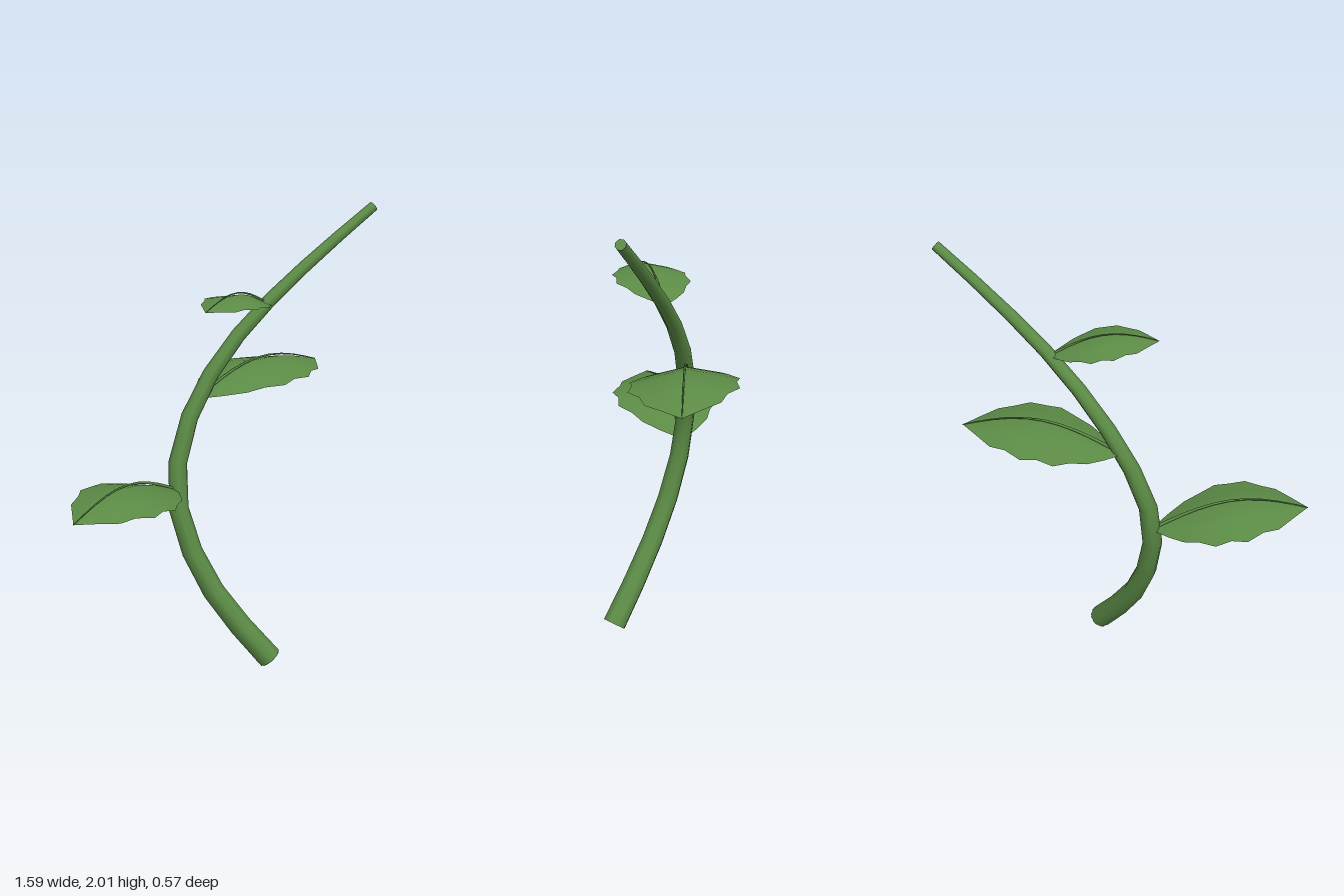
import * as THREE from 'three';

const green = new THREE.MeshStandardMaterial({ color: 0x5c8c46, side: THREE.DoubleSide });
green.name = 'leafGreen';

// Half widths of the serrated leaf from base to tip
const HALF = [0.01, 0.085, 0.148, 0.18, 0.226, 0.212, 0.225, 0.174, 0.15, 0.075, 0];
const LENGTH = 0.675;

// Tube along a curve whose radius shrinks from r0 to r1
function taperedTube(curve, rows, sides, r0, r1) {
  const geo = new THREE.TubeGeometry(curve, rows, 1, sides, false);
  const pos = geo.attributes.position;
  const v = new THREE.Vector3();
  for (let i = 0; i <= rows; i++) {
    const c = curve.getPointAt(i / rows);
    const r = THREE.MathUtils.lerp(r0, r1, i / rows);
    for (let j = 0; j <= sides; j++) {
      const k = i * (sides + 1) + j;
      v.fromBufferAttribute(pos, k).sub(c).multiplyScalar(r).add(c);
      pos.setXYZ(k, v.x, v.y, v.z);
    }
  }
  return geo;
}

// Flat disc closing one end of the stem
function endCap(curve, t, radius, sides, name) {
  const cap = new THREE.Mesh(new THREE.CircleGeometry(radius, sides), green);
  const out = curve.getTangentAt(t).multiplyScalar(t === 0 ? -1 : 1);
  cap.position.copy(curve.getPointAt(t));
  cap.quaternion.setFromUnitVectors(new THREE.Vector3(0, 0, 1), out);
  cap.name = name;
  return cap;
}

function createStem() {
  const stem = new THREE.Group();
  stem.name = 'stem';
  const curve = new THREE.CatmullRomCurve3([
    [0.125, 0.03, 0.235], [0.03, 0.2, 0.13], [-0.06, 0.4, 0.025], [-0.11, 0.6, -0.05],
    [-0.126, 0.8, -0.097], [-0.09, 1.0, -0.11], [0.0, 1.2, -0.097], [0.13, 1.4, -0.05],
    [0.31, 1.6, 0.03], [0.54, 1.8, 0.13], [0.78, 1.985, 0.23],
  ].map((p) => new THREE.Vector3(...p)));
  const body = new THREE.Mesh(taperedTube(curve, 12, 8, 0.054, 0.022), green);
  body.name = 'stemBody';
  stem.add(body, endCap(curve, 0, 0.054, 8, 'stemBase'), endCap(curve, 1, 0.022, 8, 'stemTip'));
  return stem;
}

// Centre line of a leaf: arches up and leans toward +z
const midline = (t, dir, lift = 0) => new THREE.Vector3(
  dir * LENGTH * t, 0.062 * t + (0.082 + lift) * Math.sin(Math.PI * t), 0.1 * t);

function createLeaf(name, dir, size, base) {
  const leaf = new THREE.Group();
  leaf.name = name;

  // Blade: rows across the midline, sides drooping like a shallow roof
  const cols = 4;
  const pos = [];
  const index = [];
  HALF.forEach((half, i) => {
    const m = midline(i / 10, dir);
    for (let j = 0; j <= cols; j++) {
      const s = (j / cols) * 2 - 1;
      pos.push(m.x, m.y - 0.22 * half * Math.abs(s), m.z + s * half);
      if (i < 10 && j < cols) {
        const a = i * (cols + 1) + j;
        const b = a + cols + 1;
        if (dir > 0) index.push(a, a + 1, b, b, a + 1, b + 1);
        else index.push(a, b, a + 1, b, b + 1, a + 1);
      }
    }
  });
  const geo = new THREE.BufferGeometry();
  geo.setAttribute('position', new THREE.Float32BufferAttribute(pos, 3));
  geo.setIndex(index);
  geo.computeVertexNormals();
  const blade = new THREE.Mesh(geo, green);
  blade.name = 'blade';

  // Thin raised midrib
  const ribPoints = Array.from({ length: 9 }, (_, i) => midline(i / 8, dir, 0.012));
  const rib = new THREE.Mesh(
    taperedTube(new THREE.CatmullRomCurve3(ribPoints), 10, 5, 0.008, 0.002), green);
  rib.name = 'midrib';

  leaf.add(blade, rib);
  leaf.scale.setScalar(size);
  leaf.position.set(...base);
  return leaf;
}

export function createModel() {
  const model = new THREE.Group();
  model.name = 'leafyStem';
  model.add(
    createStem(),
    createLeaf('lowerLeaf', -1, 1, [-0.125, 0.822, -0.1]),
    createLeaf('middleLeaf', 1, 1, [0.01, 1.21, -0.1]),
    createLeaf('upperLeaf', -1, 0.667, [0.31, 1.6, 0.025]),
  );
  return model;
}
